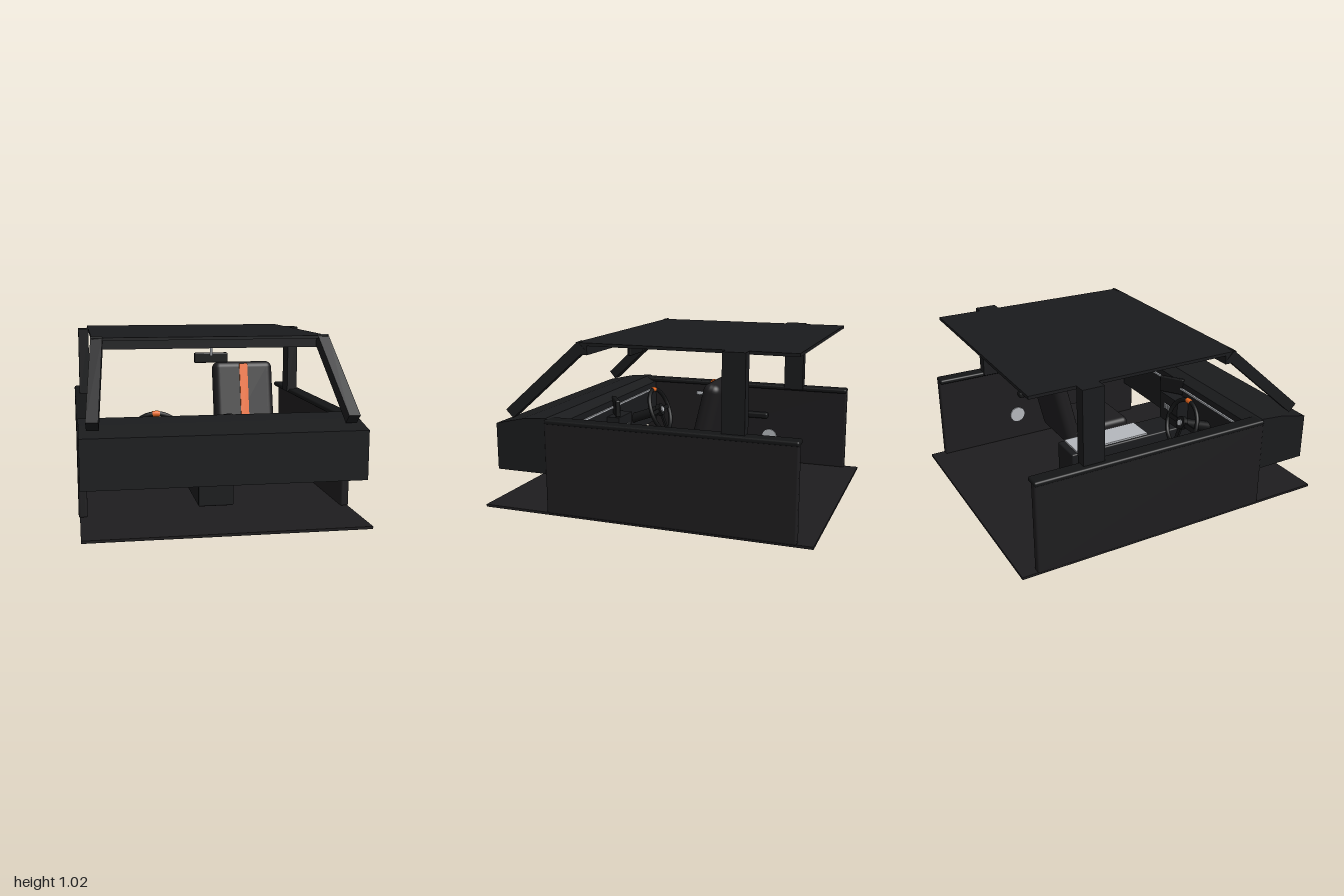
import * as THREE from 'three';
import { RoundedBoxGeometry } from 'three/addons/geometries/RoundedBoxGeometry.js';

const mat = (color) => new THREE.MeshStandardMaterial({ color });

export function createModel() {
  const car = new THREE.Group();
  car.name = 'carInterior';
  const dark = mat(0x1a1b1d), panel = mat(0x1e1d1f), trim = mat(0x141516);
  const orange = mat(0xf06a20), silver = mat(0xb4b7bc);

  const add = (name, geometry, material, x, y, z, parent = car) => {
    const mesh = new THREE.Mesh(geometry, material);
    mesh.name = name;
    mesh.position.set(x, y, z);
    parent.add(mesh);
    return mesh;
  };
  const box = (name, material, w, h, d, x, y, z, parent) =>
    add(name, new THREE.BoxGeometry(w, h, d), material, x, y, z, parent);
  const rounded = (name, material, w, h, d, r, x, y, z, parent) =>
    add(name, new RoundedBoxGeometry(w, h, d, 4, r), material, x, y, z, parent);
  const group = (name, x, y, z) => {
    const g = new THREE.Group();
    g.name = name;
    g.position.set(x, y, z);
    car.add(g);
    return g;
  };

  // Floor, roof and the header above the windscreen
  box('floor', panel, 1.58, 0.015, 2, 0, 0.0075, 0);
  box('roof', dark, 1.4, 0.018, 1.29, 0, 1.009, -0.235);
  box('windscreenHeader', dark, 1.4, 0.07, 0.04, 0, 0.983, 0.36);

  // Dashboard: side profile extruded across the car
  const profile = new THREE.Shape([
    [0.9, 0.25], [0.9, 0.53], [0.72, 0.57], [0.57, 0.583], [0.51, 0.545], [0.51, 0.25],
  ].map(([z, y]) => new THREE.Vector2(-z, y)));
  const dashGeo = new THREE.ExtrudeGeometry(profile, { depth: 1.58, bevelEnabled: false });
  dashGeo.translate(0, 0, -0.79).rotateY(Math.PI / 2);
  add('dashboard', dashGeo, dark, 0, 0, 0);
  box('dashTrim', silver, 1.3, 0.012, 0.012, 0, 0.5, 0.505);

  // Centre stack with its row of keys, and the screen turned to the driver
  box('centreStack', dark, 0.21, 0.2, 0.1, 0, 0.35, 0.475);
  for (let i = -2; i <= 2; i++) box('key', silver, 0.01, 0.035, 0.01, i * 0.02, 0.37, 0.421);
  const screen = group('screen', 0.04, 0.51, 0.475);
  screen.rotation.y = 0.6;
  rounded('screenBody', trim, 0.17, 0.11, 0.03, 0.008, 0, 0, 0, screen);

  // Centre console with a light lid
  rounded('console', dark, 0.21, 0.225, 0.9, 0.01, 0, 0.148, 0.095);
  box('consoleLid', silver, 0.18, 0.012, 0.52, 0, 0.266, -0.055);

  // Steering wheel
  const wheel = group('steeringWheel', -0.33, 0.425, 0.31);
  wheel.rotation.x = 0.35;
  add('rim', new THREE.TorusGeometry(0.148, 0.014, 12, 48), trim, 0, 0, 0, wheel);
  const mark = new THREE.TorusGeometry(0.148, 0.017, 12, 8, 0.28);
  mark.rotateZ(Math.PI / 2 - 0.14);
  add('rimMark', mark, orange, 0, 0, 0, wheel);
  for (const a of [0, Math.PI, -Math.PI / 2]) {
    const spoke = box('spoke', trim, 0.14, 0.028, 0.014, 0.07 * Math.cos(a), 0.07 * Math.sin(a), 0, wheel);
    spoke.rotation.z = a;
  }
  const disc = (r, h) => new THREE.CylinderGeometry(r, r, h, 32).rotateX(Math.PI / 2);
  add('hub', disc(0.042, 0.03), trim, 0, 0, 0, wheel);
  add('hubCap', disc(0.02, 0.01), silver, 0, 0, -0.018, wheel);
  add('column', disc(0.033, 0.23), trim, 0, 0, 0.115, wheel);

  // Passenger seat with a stripe down its back rest
  rounded('seatCushion', panel, 0.41, 0.11, 0.42, 0.035, 0.335, 0.243, -0.02);
  const back = group('seatBack', 0.335, 0.49, -0.28);
  back.rotation.x = -0.235;
  rounded('backRest', panel, 0.41, 0.62, 0.105, 0.045, 0, 0, 0, back);
  box('seatStripe', orange, 0.055, 0.53, 0.01, 0, 0.025, 0.056, back);

  // Rear-view mirror
  rounded('mirror', trim, 0.2, 0.06, 0.025, 0.008, 0, 0.89, 0.348);
  add('mirrorStem', new THREE.CylinderGeometry(0.007, 0.007, 0.05, 12), silver, 0, 0.928, 0.36);

  // Doors and pillars on both sides
  for (const s of [1, -1]) {
    const side = group(s > 0 ? 'leftSide' : 'rightSide', 0, 0, 0);
    rounded('doorPanel', panel, 0.05, 0.555, 1.49, 0.012, s * 0.772, 0.288, -0.165, side);
    rounded('doorSill', trim, 0.09, 0.03, 1.49, 0.012, s * 0.755, 0.562, -0.165, side);
    rounded('armrest', trim, 0.05, 0.04, 0.46, 0.012, s * 0.728, 0.35, -0.13, side);
    rounded('doorHandle', silver, 0.018, 0.025, 0.11, 0.008, s * 0.741, 0.478, 0.13, side);
    const speaker = new THREE.CylinderGeometry(0.052, 0.052, 0.012, 32).rotateZ(Math.PI / 2);
    add('speaker', speaker, silver, s * 0.744, 0.195, -0.37, side);

    box('rearPillar', dark, 0.068, 0.46, 0.13, s * 0.733, 0.788, -0.545, side);

    // Slanted windscreen pillar
    const foot = new THREE.Vector3(s * 0.717, 0.583, 0.835);
    const top = new THREE.Vector3(s * 0.67, 1.0, 0.375);
    const mid = foot.clone().lerp(top, 0.5);
    const pillar = box('windscreenPillar', dark, 0.068, 0.065, foot.distanceTo(top), mid.x, mid.y, mid.z, side);
    pillar.lookAt(top);
  }
  return car;
}
